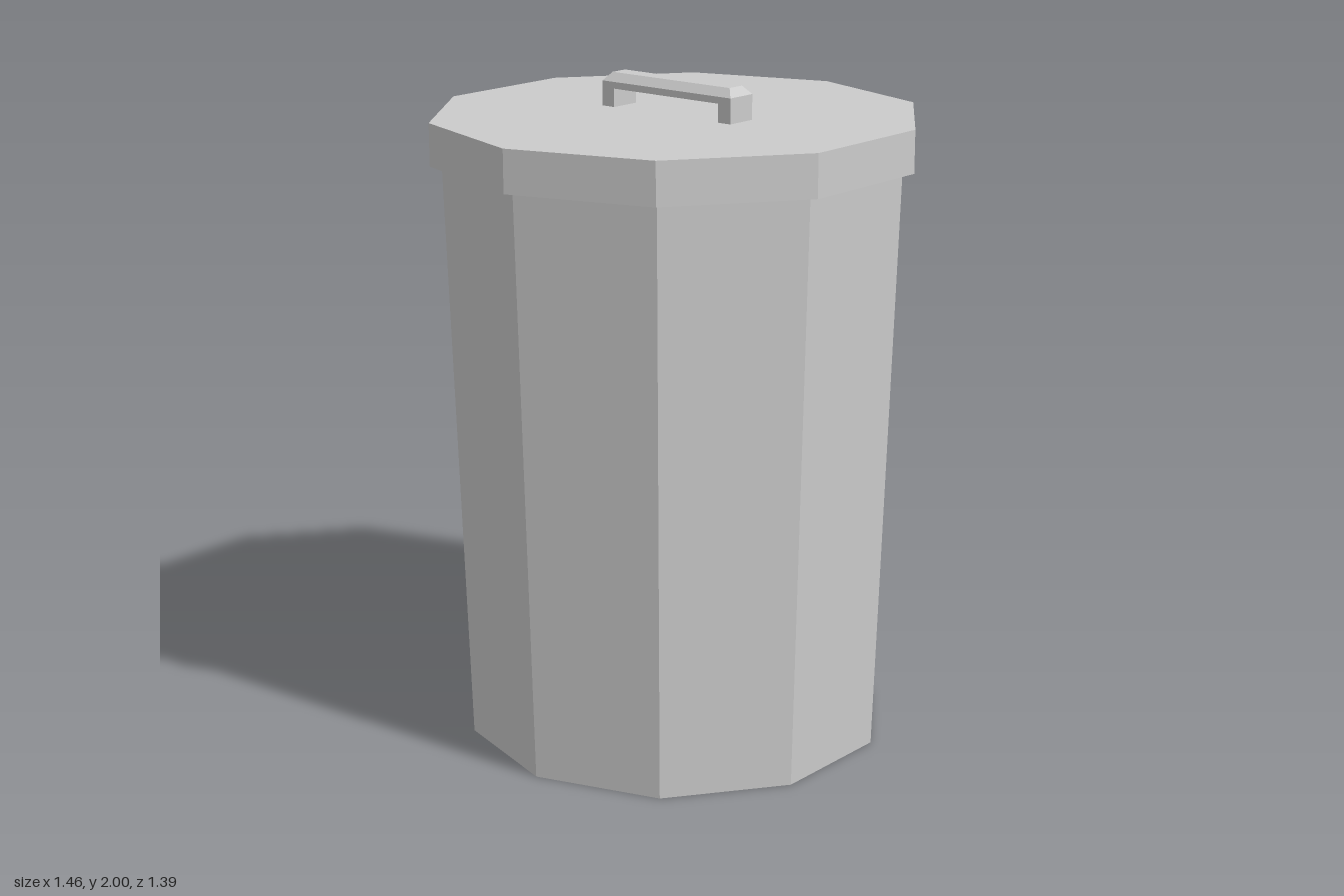
import * as THREE from 'three';

const SIDES = 10;
const material = new THREE.MeshStandardMaterial({ color: 0xcccccc, flatShading: true });

function part(name, geometry) {
  const flat = geometry.index ? geometry.toNonIndexed() : geometry;
  flat.computeVertexNormals();
  const mesh = new THREE.Mesh(flat, material);
  mesh.name = name;
  return mesh;
}

// Ten-sided turned part with corners on the x axis; profile runs bottom to top
function turned(name, profile) {
  const points = profile.map(([r, y]) => new THREE.Vector2(r, y));
  return part(name, new THREE.LatheGeometry(points, SIDES, Math.PI / 2));
}

function createHandle() {
  const handle = new THREE.Group();
  handle.name = 'handle';
  const width = 0.1, half = 0.245, inner = 0.2;
  const base = 1.9, under = 1.955, shoulder = 1.975, top = 2;

  // Bracket: two feet joined by a bar
  const outline = new THREE.Shape([
    [-half, base], [-inner, base], [-inner, under], [inner, under],
    [inner, base], [half, base], [half, shoulder], [-half, shoulder],
  ].map(([x, y]) => new THREE.Vector2(x, y)));
  const bracket = new THREE.ExtrudeGeometry(outline, { depth: width, bevelEnabled: false });
  bracket.translate(0, 0, -width / 2).rotateY(Math.PI / 2);
  handle.add(part('handleBracket', bracket));

  // Chamfered cap: a box with its upper face drawn in
  const cap = new THREE.BoxGeometry(width, top - shoulder, half * 2);
  const p = cap.attributes.position;
  for (let i = 0; i < p.count; i++) {
    if (p.getY(i) > 0) {
      p.setX(i, Math.sign(p.getX(i)) * 0.028);
      p.setZ(i, Math.sign(p.getZ(i)) * 0.224);
    }
  }
  cap.translate(0, (top + shoulder) / 2, 0);
  handle.add(part('handleCap', cap));
  return handle;
}

export function createModel() {
  const bin = new THREE.Group();
  bin.name = 'bin';

  // Tapered body with a slightly recessed floor
  bin.add(turned('body', [[0, 0.04], [0.585, 0.04], [0.642, 0], [0.697, 1.773]]));

  // Overhanging lid
  bin.add(turned('lid', [[0, 1.773], [0.732, 1.773], [0.732, 1.9], [0, 1.9]]));

  bin.add(createHandle());
  return bin;
}
